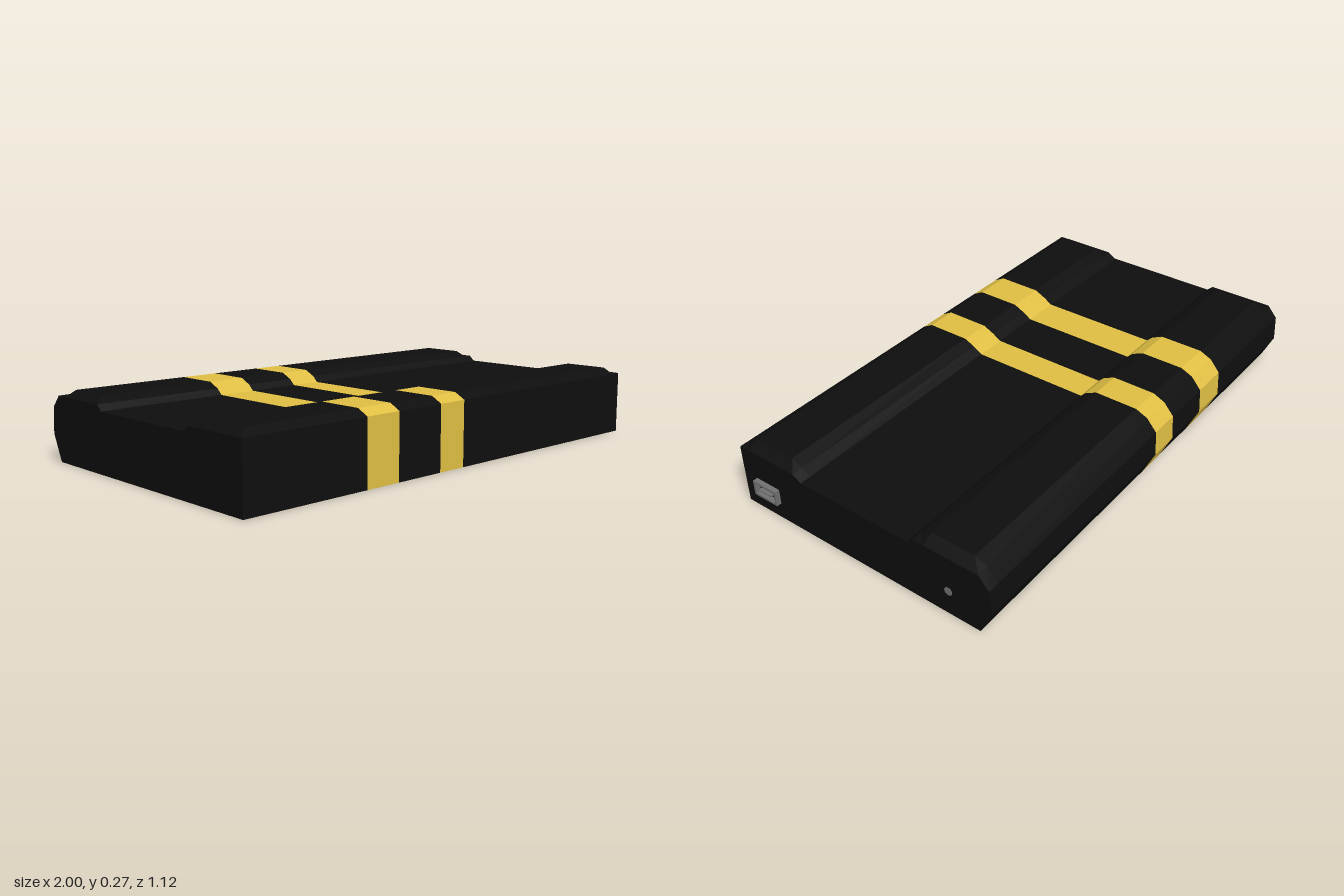
import * as THREE from 'three';

// Case outline as [z, y], from front bottom over the top to back bottom
const PROFILE = [
  [0.56, 0], [0.56, 0.245], [0.517, 0.268], [0.34, 0.268], [0.295, 0.247], [0.26, 0.225],
  [-0.222, 0.225], [-0.245, 0.247], [-0.29, 0.268], [-0.465, 0.268], [-0.513, 0.247],
  [-0.554, 0.2], [-0.56, 0.1], [-0.513, 0],
];
const END_HEIGHT = 0.246; // the ridges are bevelled down to this at both ends

const section = (x, cap) => PROFILE.map(([z, y]) => [x, Math.min(y, cap), z]);

function flatGeometry(positions) {
  const g = new THREE.BufferGeometry();
  g.setAttribute('position', new THREE.Float32BufferAttribute(positions, 3));
  g.computeVertexNormals();
  return g;
}

// Skin between two neighbouring cross-sections
function skin(s0, s1) {
  const p = [];
  for (let i = 0; i < s0.length; i++) {
    const j = (i + 1) % s0.length;
    p.push(...s0[i], ...s1[i], ...s1[j], ...s0[i], ...s1[j], ...s0[j]);
  }
  return flatGeometry(p);
}

// Closing face, dir is +1 or -1 along x
function endCap(s, dir) {
  const pts = s.map(([, y, z]) => new THREE.Vector2(z, y));
  const p = [];
  for (const [a, b, c] of THREE.ShapeUtils.triangulateShape(pts, [])) {
    const facing = -THREE.ShapeUtils.area([pts[a], pts[b], pts[c]]) * dir;
    const order = facing > 0 ? [a, b, c] : [a, c, b];
    order.forEach((k) => p.push(...s[k]));
  }
  return flatGeometry(p);
}

export function createModel() {
  const model = new THREE.Group();
  model.name = 'deviceCase';
  const black = new THREE.MeshStandardMaterial({ name: 'black', color: 0x0e0e0e });
  const gold = new THREE.MeshStandardMaterial({ name: 'gold', color: 0xdfbe43 });
  const grey = new THREE.MeshStandardMaterial({ name: 'grey', color: 0x707070 });

  const add = (parent, name, geometry, material, x = 0, y = 0, z = 0) => {
    const mesh = new THREE.Mesh(geometry, material);
    mesh.name = name;
    mesh.position.set(x, y, z);
    parent.add(mesh);
    return mesh;
  };

  // Case in bands along x, with two gold stripes wrapping all the way round
  const xs = [-1, -0.955, -0.488, -0.338, -0.13, -0.007, 0.935, 0.98];
  const last = xs.length - 1;
  const sections = xs.map((x, i) => section(x, i === 0 || i === last ? END_HEIGHT : 1));
  for (let i = 0; i < last; i++) {
    const stripe = i === 2 || i === 4;
    add(model, stripe ? 'stripe' : 'caseBand', skin(sections[i], sections[i + 1]), stripe ? gold : black);
  }
  add(model, 'rightEnd', endCap(sections[0], -1), black);
  add(model, 'leftEnd', endCap(sections[last], 1), black);

  // Socket: raised rectangular frame with a tongue inside
  const socket = new THREE.Group();
  socket.name = 'socket';
  socket.position.set(0.98, 0.101, 0.441);
  model.add(socket);
  for (const s of [-1, 1]) {
    add(socket, 'socketRail', new THREE.BoxGeometry(0.02, 0.009, 0.112), grey, 0.01, s * 0.0265, 0);
    add(socket, 'socketPost', new THREE.BoxGeometry(0.02, 0.044, 0.009), grey, 0.01, 0, s * 0.0515);
  }
  add(socket, 'socketTongue', new THREE.BoxGeometry(0.02, 0.005, 0.06), grey, 0.01, 0, 0);

  // Small round power jack
  const jack = add(model, 'powerJack', new THREE.CylinderGeometry(0.016, 0.016, 0.004, 16), grey, 0.98, 0.101, -0.386);
  jack.rotation.z = -Math.PI / 2;

  return model;
}
